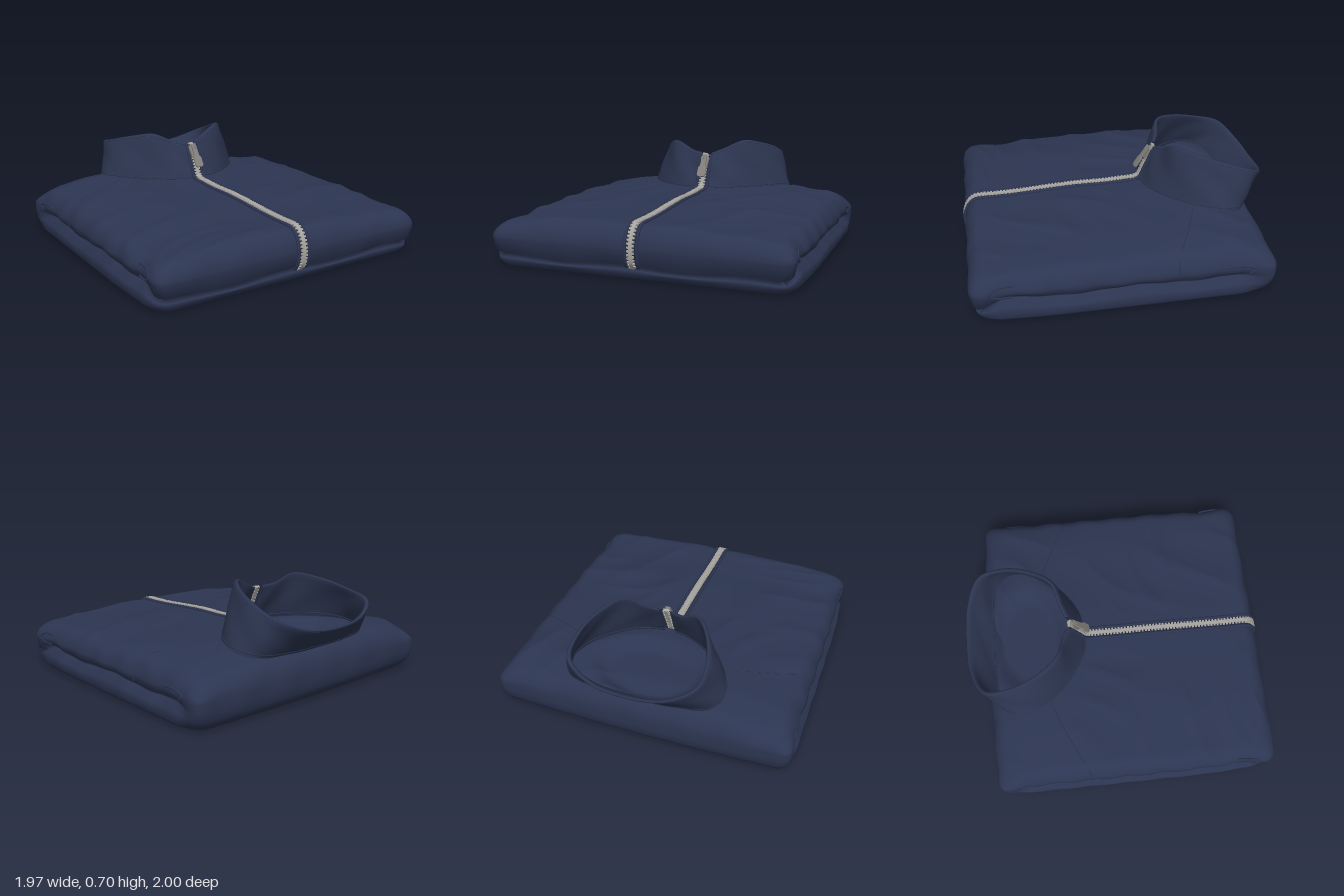
import * as THREE from 'three';
import { mergeGeometries, mergeVertices } from 'three/addons/utils/BufferGeometryUtils.js';

const V = (x, y, z) => new THREE.Vector3(x, y, z);
const CX = 0.01; // the zip sits a touch off centre
const { smoothstep: smooth, lerp, clamp } = THREE.MathUtils;

function material(name, color, side = THREE.FrontSide) {
  const m = new THREE.MeshStandardMaterial({ color, side });
  m.name = name;
  return m;
}

// Smooth grid surface from a rule f(i, j) -> Vector3
function gridSurface(nu, nv, f) {
  const pos = [], idx = [];
  for (let j = 0; j <= nv; j++) for (let i = 0; i <= nu; i++) pos.push(...f(i, j).toArray());
  for (let j = 0; j < nv; j++) for (let i = 0; i < nu; i++) {
    const a = j * (nu + 1) + i, b = a + 1, d = a + nu + 1, c = d + 1;
    idx.push(a, b, c, a, c, d);
  }
  let g = new THREE.BufferGeometry();
  g.setAttribute('position', new THREE.Float32BufferAttribute(pos, 3));
  g.setIndex(idx);
  g = mergeVertices(g, 1e-5);
  g.computeVertexNormals();
  return g;
}

// Height of the upper cloth: highest at the shoulders, with sharp diagonal folds
// and a hollow inside the collar
function clothTop(x, z) {
  const shoulder = 1 - smooth(z, -0.45, 0.1);
  const base = 0.354 - 0.028 * smooth(z, 0.15, 0.85) + 0.024 * shoulder
    - (0.045 + 0.025 * shoulder) * Math.pow(Math.abs(x) / 0.9, 3) - 0.05 * smooth(-z, 0.6, 0.88);
  const calm = 0.2 + 0.8 * smooth(Math.abs(x), 0.05, 0.25);
  const s = x * 0.75 + z, t = x - z * 0.7;
  const ridge = a => 1.4 - 2 * Math.sqrt(Math.abs(Math.sin(a / 2)) + 0.02);
  const fold = 0.009 * ridge(13 * s + 2.2 * Math.sin(3.1 * t) + 0.6) * smooth(Math.sin(4.3 * t + 1.5 * s), -0.6, 0.8)
    + 0.007 * ridge(21 * s + 3 * Math.sin(4.3 * t + 1)) * smooth(Math.sin(5 * t - 3 * s + 2), -0.2, 0.9)
    + 0.005 * Math.sin(6 * t + 2 * Math.sin(4 * s));
  const e = Math.hypot(x / 0.44, (z + 0.58) / 0.28);
  return base + fold * calm - 0.07 * (1 - smooth(e, 0.6, 1));
}

// Rounded square outline, u in 0..1, running from the front-left corner to the back
function outline(u) {
  const k = (u % 1) * 4, side = Math.floor(k), f = (k - side) * 2 - 1, r = 0.08;
  const [a, b] = [[1, -f], [-f, -1], [-1, f], [f, 1]][side];
  const ia = clamp(a, r - 1, 1 - r), ib = clamp(b, r - 1, 1 - r);
  const l = Math.hypot(a - ia, b - ib);
  return [ia + (a - ia) / l * r, ib + (b - ib) / l * r];
}

// Point of the folded body: outline parameter, inset from the edge, height
function bodyPoint(u, inset, y) {
  const [a, b] = outline(u), s = 1 - inset / 0.96;
  const taper = 0.985 - 0.02 * smooth(b, 0.4, 1);
  const wave = 0.005 * Math.sin(19 * a + 23 * b) * Math.min(1, y * 6);
  const backBow = 0.025 * a * a * smooth(-b, 0.6, 1);
  return V(a * s * (taper + wave), y, 0.05 + b * s * (0.94 + wave * 0.7) + backBow * s);
}

const frontness = u => smooth(outline(u)[1], 0.8, 1);
const backness = u => smooth(-outline(u)[1], 0.75, 0.98);
const grooveY = u => 0.13 - 0.06 * frontness(u) + 0.008 * Math.sin(u * 60) * (1 - backness(u));
const upperInset = u => 0.025 * (1 - frontness(u)) * (1 - backness(u));

function bodyGeometry() {
  const nu = 256, roll = 9, inner = 38;
  // lower edge at the back: one plain roll
  const backRoll = [[0.96, 0], [0.1, 0], [0.06, 0.007], [0.025, 0.04], [0.01, 0.075], [0.002, 0.11], [0, 0.14]];
  return gridSurface(nu, 7 + roll + inner, (i, j) => {
    const u = i / nu, g = grooveY(u), back = backness(u);
    const low = 0.028 * frontness(u), up = upperInset(u);
    if (j < 7) {
      const lower = [[0.96, 0], [0.1, 0], [0.03 + low, 0.004], [0.005 + low, 0.035],
        [0.004 + low, g * 0.78], [0.06, g], [0.014 + up, g + 0.022]];
      return bodyPoint(u, lerp(lower[j][0], backRoll[j][0], back), lerp(lower[j][1], backRoll[j][1], back));
    }
    // rolled edge, then the top running in to the centre
    const t = Math.min(1, (j - 7) / roll) * Math.PI / 2;
    const rim = up + 0.1 * (1 - Math.cos(t));
    const k = Math.max(0, (j - 7 - roll) / inner);
    const p = bodyPoint(u, rim + (0.96 - rim) * k, 0.18);
    p.y = 0.18 + (clothTop(p.x, p.z) - 0.18) * Math.sin(t);
    return p;
  });
}

// Point on the left (s = 1) or right (s = -1) rolled edge at a given z and height
function sidePoint(s, z, y) {
  const b = (z - 0.05) / 0.94, u = s > 0 ? (1 - b) / 8 : 0.5 + (b + 1) / 8;
  const sin = clamp((y - 0.18) / 0.125, 0, 1);
  return bodyPoint(u, upperInset(u) + 0.1 * (1 - Math.sqrt(1 - sin * sin)), y);
}

// Mirrors a half path (front to back) into a full collar loop
function collarCurve(half, leftRise) {
  const all = half.map(p => V(p[0] + CX, p[1], p[2]));
  for (let i = half.length - 2; i >= 0; i--) {
    const [x, y, z] = half[i];
    all.push(V(CX - x, y - (y > 0.62 ? leftRise : 0), z));
  }
  return new THREE.CatmullRomCurve3(all);
}
const collarBase = collarCurve([[0.04, 0.36, -0.19], [0.16, 0.355, -0.22], [0.33, 0.355, -0.33], [0.475, 0.355, -0.5],
  [0.53, 0.345, -0.67], [0.46, 0.325, -0.79], [0.25, 0.315, -0.83], [0, 0.315, -0.835]], 0);
const collarRim = collarCurve([[0.04, 0.61, -0.3], [0.13, 0.645, -0.335], [0.26, 0.7, -0.38], [0.365, 0.675, -0.52],
  [0.425, 0.625, -0.71], [0.412, 0.56, -0.89], [0.24, 0.49, -0.98], [0, 0.465, -1.0]], 0.02);

function collarPoint(u, h, inward) {
  const p = collarBase.getPoint(u).lerp(collarRim.getPoint(u), h);
  const dir = V(CX - p.x, 0, -0.6 - p.z).normalize();
  const crease = 0.006 * Math.sin(u * 44 + h * 5) * Math.sin(h * Math.PI);
  return p.addScaledVector(dir, inward + crease);
}

function collarGeometry() {
  const prof = [[-0.18, 0]];
  for (let k = 0; k <= 10; k++) prof.push([k / 10 * 0.97, 0]);
  prof.push([1, 0.008], [1, 0.02], [0.97, 0.028]);
  for (let k = 9; k >= 0; k--) prof.push([k / 10 * 0.97, 0.028]);
  prof.push([-0.25, 0.03]);
  return gridSurface(120, prof.length - 1, (i, j) => collarPoint(i / 120, ...prof[j]));
}

// Path of the zip: up the front roll, along the top and up the collar
function zipCurve() {
  const pts = [V(CX, 0.08, 0.962), V(CX, 0.115, 0.985)];
  for (let k = 0; k <= 6; k++) {
    const t = k / 6 * Math.PI / 2, z = 0.99 - 0.1 * (1 - Math.cos(t));
    pts.push(V(CX, 0.18 + (clothTop(CX, z) - 0.175) * Math.sin(t), z + 0.004 * Math.cos(t)));
  }
  for (let z = 0.8; z > -0.17; z -= 0.08) pts.push(V(CX, clothTop(CX, z) + 0.005, z));
  pts.push(V(CX, 0.385, -0.196), V(CX, 0.46, -0.232), V(CX, 0.53, -0.265), V(CX, 0.6, -0.298));
  return new THREE.CatmullRomCurve3(pts);
}

export function createModel() {
  const group = new THREE.Group();
  const navy = material('navy cloth', 0x2c3551);
  const lining = material('navy collar cloth', 0x2c3550, THREE.DoubleSide);
  const dark = material('dark zip tape', 0x212940, THREE.DoubleSide);
  const teethMat = material('zip metal', 0xa8a5a0);
  const steel = material('slider metal', 0x827f7b);
  const add = (name, geo, mat, parent = group) => {
    const m = new THREE.Mesh(geo, mat);
    m.name = name;
    parent.add(m);
    return m;
  };
  const tube = (name, pts, r) => add(name, new THREE.TubeGeometry(
    new THREE.CatmullRomCurve3(pts), pts.length * 4, r, 6), navy);

  add('foldedBody', bodyGeometry(), navy);
  add('collar', collarGeometry(), lining);

  // Collar seams
  const loop = (h, inward) => Array.from({ length: 41 }, (_, i) => collarPoint(i / 40, h, inward));
  tube('collarBaseSeam', loop(0.08, 0.001), 0.004);
  tube('collarRimStitch', loop(0.95, 0.001), 0.002);
  tube('collarInnerSeam', loop(0.12, 0.029), 0.004);

  // Shoulder seams and the rolled folds at both sides
  for (const s of [1, -1]) {
    const seam = [];
    for (let k = 0; k <= 10; k++) {
      const x = s * (0.44 + 0.42 * k / 10), z = -0.47 + 0.18 * Math.pow(k / 10, 1.2);
      seam.push(V(x, clothTop(x, z), z));
    }
    seam.push(sidePoint(s, -0.27, 0.26), sidePoint(s, -0.26, 0.2), sidePoint(s, -0.255, 0.165));
    tube('shoulderSeam', seam, 0.004);
    const curls = {
      frontCurl: [[0.76, 0.165], [0.85, 0.17], [0.885, 0.195], [0.86, 0.23], [0.76, 0.235]],
      backCurl: [[-0.56, 0.21], [-0.68, 0.215], [-0.76, 0.19], [-0.72, 0.165]],
    };
    for (const [name, pts] of Object.entries(curls)) tube(name, pts.map(([z, y]) => sidePoint(s, z, y)), 0.006);
  }

  // Zip: tape, piped edges and interlocking teeth
  const zip = zipCurve(), N = 150, path = zip.getSpacedPoints(N);
  add('zipTape', gridSurface(1, N, (i, j) => path[j].clone().add(V(i ? 0.04 : -0.04, 0, 0))), dark);
  for (const s of [1, -1]) {
    const edge = path.filter((_, i) => i % 3 === 0).map(p => p.clone().add(V(s * 0.038, -0.001, 0)));
    tube('zipPiping', edge, 0.011);
  }
  const teeth = [], helper = new THREE.Object3D();
  for (let i = 0; i <= N; i++) {
    helper.position.copy(path[i]).x += i % 2 ? 0.006 : -0.006;
    helper.lookAt(helper.position.clone().add(zip.getTangentAt(i / N)));
    helper.updateMatrix();
    teeth.push(new THREE.BoxGeometry(0.034, 0.02, 0.0125).applyMatrix4(helper.matrix));
  }
  add('zipTeeth', mergeGeometries(teeth), teethMat);

  // Slider with bridge and hanging pull
  const slider = new THREE.Group();
  slider.name = 'zipSlider';
  slider.position.set(CX, 0.545, -0.272);
  slider.rotation.x = -0.45;
  group.add(slider);
  const bevelled = (pts, depth, bevel, hole) => {
    const shape = new THREE.Shape(pts.map(p => new THREE.Vector2(...p)));
    if (hole) shape.holes.push(hole);
    return new THREE.ExtrudeGeometry(shape, { depth, bevelSize: bevel, bevelThickness: bevel, bevelSegments: 2 });
  };
  add('sliderPlate', bevelled([[-0.018, -0.045], [0.018, -0.045], [0.028, 0.03], [0.012, 0.045],
    [-0.012, 0.045], [-0.028, 0.03]], 0.016, 0.003), steel, slider);
  const bridge = add('sliderBridge', new THREE.TorusGeometry(0.022, 0.006, 8, 16, Math.PI), steel, slider);
  bridge.rotation.set(0, -Math.PI / 2, -Math.PI / 2, 'YXZ');
  bridge.position.set(0, 0.022, 0.018);
  const hole = new THREE.Path();
  hole.absarc(0, -0.012, 0.007, 0, Math.PI * 2, true);
  const pull = add('zipPull', bevelled([[-0.014, 0.01], [0.014, 0.01], [0.018, -0.08], [0.028, -0.095], [0.028, -0.15],
    [0.02, -0.16], [-0.02, -0.16], [-0.028, -0.15], [-0.028, -0.095], [-0.018, -0.08]], 0.009, 0.002, hole), steel, slider);
  pull.position.set(0, 0.035, 0.026);
  pull.rotation.x = -0.12;
  return group;
}
